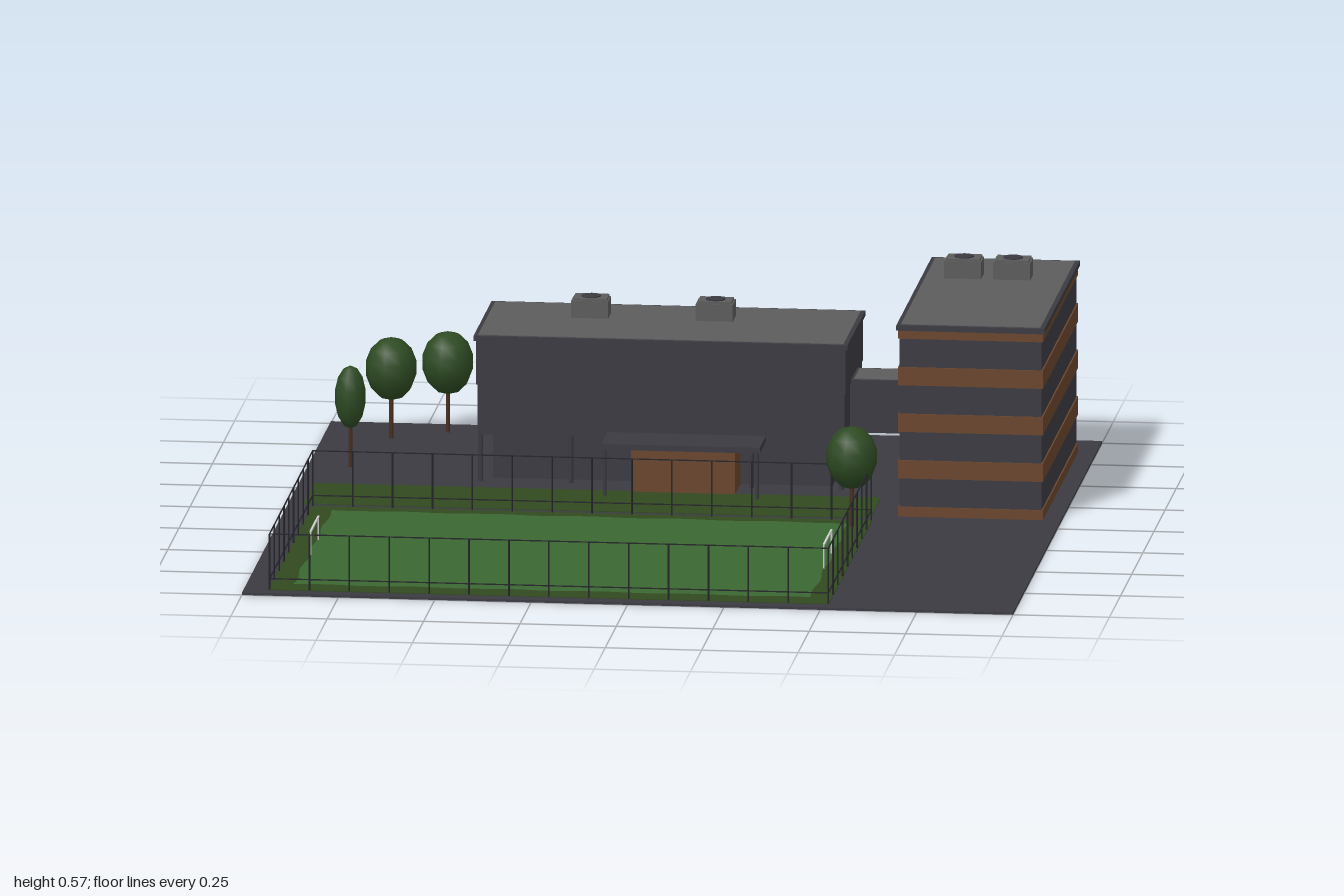
import * as THREE from 'three';

const mat = (name, color) => {
  const m = new THREE.MeshStandardMaterial({ color });
  m.name = name;
  return m;
};

export function createModel() {
  const model = new THREE.Group();
  model.name = 'campus';
  const M = {
    wall: mat('charcoal', 0x3b3a42),
    roof: mat('roof grey', 0x5c5c5c),
    brown: mat('brown cladding', 0x6a452c),
    grass: mat('dark grass', 0x30491f),
    pitch: mat('pitch green', 0x3a6730),
    leaf: mat('foliage', 0x2d4a22),
    trunk: mat('trunk brown', 0x4a2f1f),
    metal: mat('dark metal', 0x24242a),
    white: mat('goal white', 0xcfcfcf),
  };
  const G = 0.006; // top of the paving

  const add = (name, geo, material, parent = model) => {
    const mesh = new THREE.Mesh(geo, material);
    mesh.name = name;
    parent.add(mesh);
    return mesh;
  };
  const group = (name) => {
    const g = new THREE.Group();
    g.name = name;
    model.add(g);
    return g;
  };
  // Box given by its limits on each axis
  const box = (name, x0, x1, y0, y1, z0, z1, material, parent) => {
    const mesh = add(name, new THREE.BoxGeometry(x1 - x0, y1 - y0, z1 - z0), material, parent);
    mesh.position.set((x0 + x1) / 2, (y0 + y1) / 2, (z0 + z1) / 2);
    return mesh;
  };
  const post = (name, x, z, y0, y1, r, material, parent) => {
    const mesh = add(name, new THREE.CylinderGeometry(r, r, y1 - y0, 6), material, parent);
    mesh.position.set(x, (y0 + y1) / 2, z);
    return mesh;
  };
  // Dark roof edge with a grey deck set into it
  const roof = (x0, x1, z0, z1, y0, y1, parent) => {
    box('roofEdge', x0, x1, y0, y1, z0, z1, M.wall, parent);
    const e = 0.011;
    box('roofDeck', x0 + e, x1 - e, y1 - 0.004, y1 + 0.002, z0 + e, z1 - e, M.roof, parent);
  };
  // Rooftop ventilation box with a round fan
  const vent = (x, y, z, parent) => {
    box('ventBox', x - 0.048, x + 0.048, y, y + 0.047, z - 0.034, z + 0.034, M.roof, parent);
    box('ventLid', x - 0.044, x + 0.044, y + 0.047, y + 0.053, z - 0.031, z + 0.031, M.roof, parent);
    const fan = add('ventFan', new THREE.CylinderGeometry(0.025, 0.025, 0.003, 16), M.wall, parent);
    fan.position.set(x, y + 0.0545, z);
  };

  // Ground and lawns
  box('paving', -1, 1, 0, G, -1, 1, M.wall);
  box('lawnStrip', -0.96, 0.51, G, G + 0.002, -0.277, -0.037, M.grass);
  box('pitchSurround', -0.935, 0.518, G, G + 0.002, -0.012, 0.962, M.grass);

  // Pitch with a gently wavy mown edge
  const corners = [[-0.877, 0.045], [0.463, 0.045], [0.463, 0.905], [-0.877, 0.905]];
  const outline = [];
  corners.forEach(([x, z], i) => {
    const [nx, nz] = corners[(i + 1) % 4];
    const len = Math.hypot(nx - x, nz - z);
    const dx = (nx - x) / len, dz = (nz - z) / len;
    for (let k = 0; k < 40; k++) {
      const s = (k / 40) * len;
      const w = 0.004 * Math.sin(s * 26);
      outline.push(new THREE.Vector2(x + dx * s - dz * w, -(z + dz * s + dx * w)));
    }
  });
  const pitch = add('pitch', new THREE.ShapeGeometry(new THREE.Shape(outline)), M.pitch);
  pitch.rotation.x = -Math.PI / 2;
  pitch.position.y = G + 0.005;

  // Fence: posts on all four sides, top and low rails
  const fence = group('fence');
  const [fx0, fx1, fz0, fz1, fh] = [-0.933, 0.516, -0.01, 0.96, 0.154];
  for (let i = 0; i <= 14; i++) {
    const x = fx0 + ((fx1 - fx0) * i) / 14;
    for (const z of [fz0, fz1]) post('fencePost', x, z, G, fh, 0.0024, M.metal, fence);
  }
  for (let i = 1; i < 9; i++) {
    const z = fz0 + ((fz1 - fz0) * i) / 9;
    for (const x of [fx0, fx1]) post('fencePost', x, z, G, fh, 0.0024, M.metal, fence);
  }
  const t = 0.0014;
  for (const y of [0.036, fh]) {
    for (const z of [fz0, fz1]) box('fenceRail', fx0, fx1, y - t, y + t, z - t, z + t, M.metal, fence);
    for (const x of [fx0, fx1]) box('fenceRail', x - t, x + t, y - t, y + t, fz0, fz1, M.metal, fence);
  }

  // Goals
  for (const x of [-0.872, 0.459]) {
    const goal = group('goal');
    for (const z of [0.393, 0.564]) post('goalPost', x, z, G, 0.074, 0.0025, M.white, goal);
    box('crossbar', x - 0.0025, x + 0.0025, 0.07, 0.075, 0.391, 0.566, M.white, goal);
  }

  // Main hall: recessed ground floor, overhanging upper floors on columns
  const hall = group('mainHall');
  box('groundFloor', -0.51, 0.37, G, 0.135, -0.71, -0.4, M.wall, hall);
  box('upperFloorLower', -0.546, 0.406, 0.13, 0.262, -0.746, -0.354, M.wall, hall);
  box('upperFloorUpper', -0.549, 0.409, 0.262, 0.38, -0.749, -0.351, M.wall, hall);
  roof(-0.555, 0.415, -0.755, -0.345, 0.378, 0.391, hall);
  for (let i = 0; i < 5; i++) {
    const x = -0.538 + i * 0.234;
    for (const z of [-0.738, -0.362]) post('column', x, z, G, 0.132, 0.007, M.wall, hall);
  }
  for (const x of [-0.28, 0.043]) vent(x, 0.391, -0.61, hall);

  // Entrance under its canopy
  const entrance = group('entrance');
  box('entranceBox', -0.137, 0.132, G, 0.132, -0.42, -0.27, M.brown, entrance);
  box('canopy', -0.208, 0.203, 0.13, 0.145, -0.352, -0.213, M.wall, entrance);
  for (const x of [-0.2, 0.195]) post('canopyPost', x, -0.222, G, 0.132, 0.005, M.wall, entrance);

  // Link bridge
  const link = group('linkBridge');
  box('linkBody', 0.4, 0.585, 0.13, 0.26, -0.615, -0.485, M.wall, link);
  roof(0.405, 0.585, -0.622, -0.478, 0.258, 0.27, link);

  // Tower: dark window floors with brown bands standing slightly proud
  const tower = group('tower');
  box('towerWindows', 0.582, 0.95, G, 0.5, -0.856, -0.074, M.wall, tower);
  for (let i = 0; i < 5; i++) {
    const y0 = Math.max(G, -0.016 + i * 0.123);
    const y1 = Math.min(0.498, 0.032 + i * 0.123);
    box('brownBand', 0.578, 0.954, y0, y1, -0.86, -0.07, M.brown, tower);
  }
  roof(0.574, 0.958, -0.864, -0.066, 0.498, 0.512, tower);
  for (const x of [0.683, 0.81]) vent(x, 0.512, -0.648, tower);

  // Trees: x, z, crown radius
  for (const [x, z, r] of [[-0.823, -0.823, 0.068], [-0.686, -0.908, 0.068], [-0.89, -0.484, 0.041], [0.474, 0.065, 0.068]]) {
    const tree = group('tree');
    post('trunk', x, z, G, 0.14, 0.006, M.trunk, tree);
    const crown = add('crown', new THREE.SphereGeometry(1, 9, 7), M.leaf, tree);
    crown.scale.set(r, 0.083, r);
    crown.position.set(x, 0.19, z);
  }
  return model;
}
